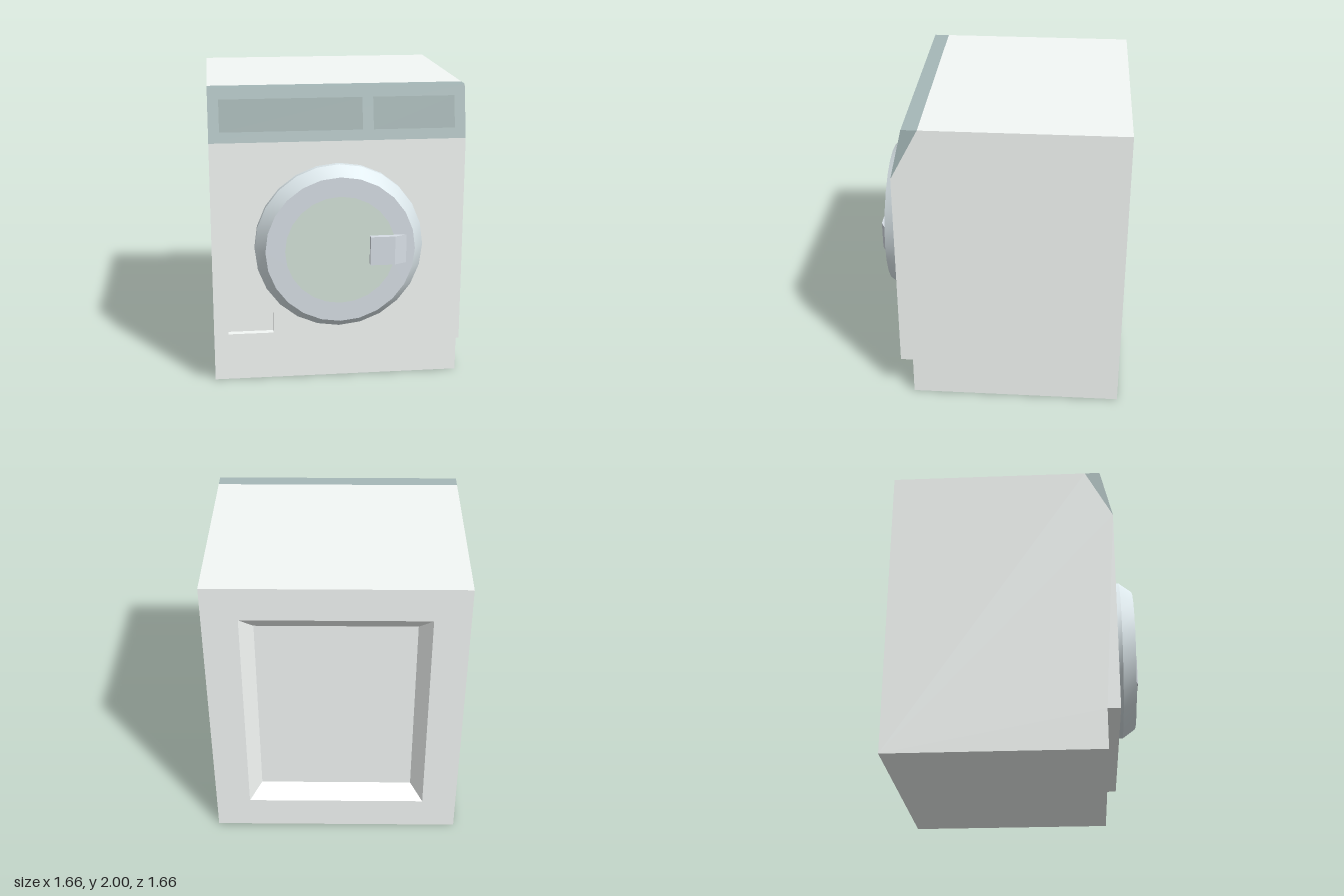
import * as THREE from 'three';
import { mergeGeometries, toCreasedNormals } from 'three/addons/utils/BufferGeometryUtils.js';

const W = 0.83, BACK = -0.83, FRONT = 0.66, KICK = 0.265;

const paint = (color) => new THREE.MeshStandardMaterial({ color });

// Flat four-cornered face, corners counter-clockwise seen from outside
function quad(a, b, c, d) {
  const g = new THREE.BufferGeometry();
  g.setAttribute('position', new THREE.Float32BufferAttribute([a, b, c, a, c, d].flat(), 3));
  g.computeVertexNormals();
  return g;
}

const polygon = (points) => new THREE.Shape(points.map(([x, y]) => new THREE.Vector2(x, y)));
const rect = (x0, y0, x1, y1) => [[x0, y0], [x1, y0], [x1, y1], [x0, y1]];

function plain(geometry) {
  const g = geometry.toNonIndexed();
  g.deleteAttribute('uv');
  return g;
}

// Face in the XY plane at z = 0, facing +z, with a tapered pocket behind its opening
function pocketedFace(outer, opening, [insetX, insetY], depth) {
  const [x0, y0, x1, y1] = opening;
  const shape = polygon(rect(...outer));
  shape.holes.push(new THREE.Path(polygon(rect(...opening)).getPoints()));
  const rim = rect(...opening).map((p) => [...p, 0]);
  const floor = rect(x0 + insetX, y0 + insetY, x1 - insetX, y1 - insetY).map((p) => [...p, -depth]);
  const parts = [plain(new THREE.ShapeGeometry(shape)), quad(...floor)];
  for (let i = 0; i < 4; i++) {
    const j = (i + 1) % 4;
    parts.push(quad(rim[i], rim[j], floor[j], floor[i]));
  }
  return mergeGeometries(parts);
}

export function createModel() {
  const model = new THREE.Group();
  model.name = 'washingMachine';
  const white = paint(0xf4f8f6);
  const chrome = paint(0xdde8ec);
  const doorPaint = paint(0xd7dee5);

  const add = (name, geometry, material, parent = model) => {
    const mesh = new THREE.Mesh(geometry, material);
    mesh.name = name;
    parent.add(mesh);
    return mesh;
  };

  // Cabinet: side profile as [z, y], with a toe kick and a cut for the control panel
  const profile = [[BACK, 0], [0.577, 0], [0.577, KICK], [FRONT, KICK], [FRONT, 1.66], [0.48, 2], [BACK, 2]];
  const shell = [];
  profile.forEach(([z, y], i) => {
    if (i === 3 || i === 6) return; // front and back carry pockets
    const [z2, y2] = profile[i + 1];
    shell.push(quad([-W, y, z], [W, y, z], [W, y2, z2], [-W, y2, z2]));
  });
  for (const side of [-1, 1]) {
    const outline = polygon(profile.map(([z, y]) => [-side * z, y]));
    shell.push(plain(new THREE.ShapeGeometry(outline).rotateY(side * Math.PI / 2).translate(side * W, 0, 0)));
  }
  add('cabinet', mergeGeometries(shell), white);

  // Front with the small filter hatch pocket, back with the large service recess
  add('frontFace', pocketedFace([-W, KICK, W, 1.66], [-0.735, 0.36, -0.435, 0.53], [0, 0], 0.045), white)
    .position.z = FRONT;
  const back = add('backFace', pocketedFace([-W, 0, W, 2], [-0.6, 0.23, 0.6, 1.77], [0.085, 0.1], 0.083), white);
  back.rotation.y = Math.PI;
  back.position.z = BACK;

  // Sloped control panel
  const wedge = polygon([[FRONT, 1.66], [0.58, 2], [0.48, 2]]);
  add('controlPanel',
    new THREE.ExtrudeGeometry(wedge, { depth: 2 * W, bevelEnabled: false })
      .rotateY(-Math.PI / 2).translate(W, 0, 0),
    paint(0xa6b8b8));

  // Darker fields lying on the panel slope
  const slopeZ = (y) => FRONT - 0.08 * (y - 1.66) / 0.34 + 0.001;
  const fieldPaint = paint(0x99aaa9);
  for (const [name, x0, x1] of [['drawerField', -0.76, 0.16], ['displayField', 0.23, 0.76]]) {
    const [y0, y1] = [1.727, 1.93];
    add(name, quad([x0, y0, slopeZ(y0)], [x1, y0, slopeZ(y0)], [x1, y1, slopeZ(y1)], [x0, y1, slopeZ(y1)]),
      fieldPaint);
  }

  // Round door: bevelled rim, flat ring and flush glass
  const door = new THREE.Group();
  door.name = 'door';
  door.position.y = 0.964;
  model.add(door);
  const rimProfile = [[0.552, FRONT], [0.552, 0.7], [0.487, 0.79]].map(([r, z]) => new THREE.Vector2(r, z));
  const rim = new THREE.LatheGeometry(rimProfile, 24).rotateX(Math.PI / 2);
  add('doorRim', toCreasedNormals(rim, 0.5), chrome, door);
  add('doorRing', new THREE.RingGeometry(0.36, 0.487, 24), doorPaint, door).position.z = 0.79;
  add('doorGlass', new THREE.CircleGeometry(0.36, 24), paint(0xd4e3d9), door).position.z = 0.79;

  // Handle: raised block sloping down towards the door edge
  const grip = polygon([[0.19, -0.79], [0.43, -0.79], [0.35, -0.83], [0.19, -0.83]]);
  add('doorHandle',
    new THREE.ExtrudeGeometry(grip, { depth: 0.19, bevelEnabled: false }).rotateX(-Math.PI / 2),
    doorPaint, door).position.y = -0.095;

  return model;
}
